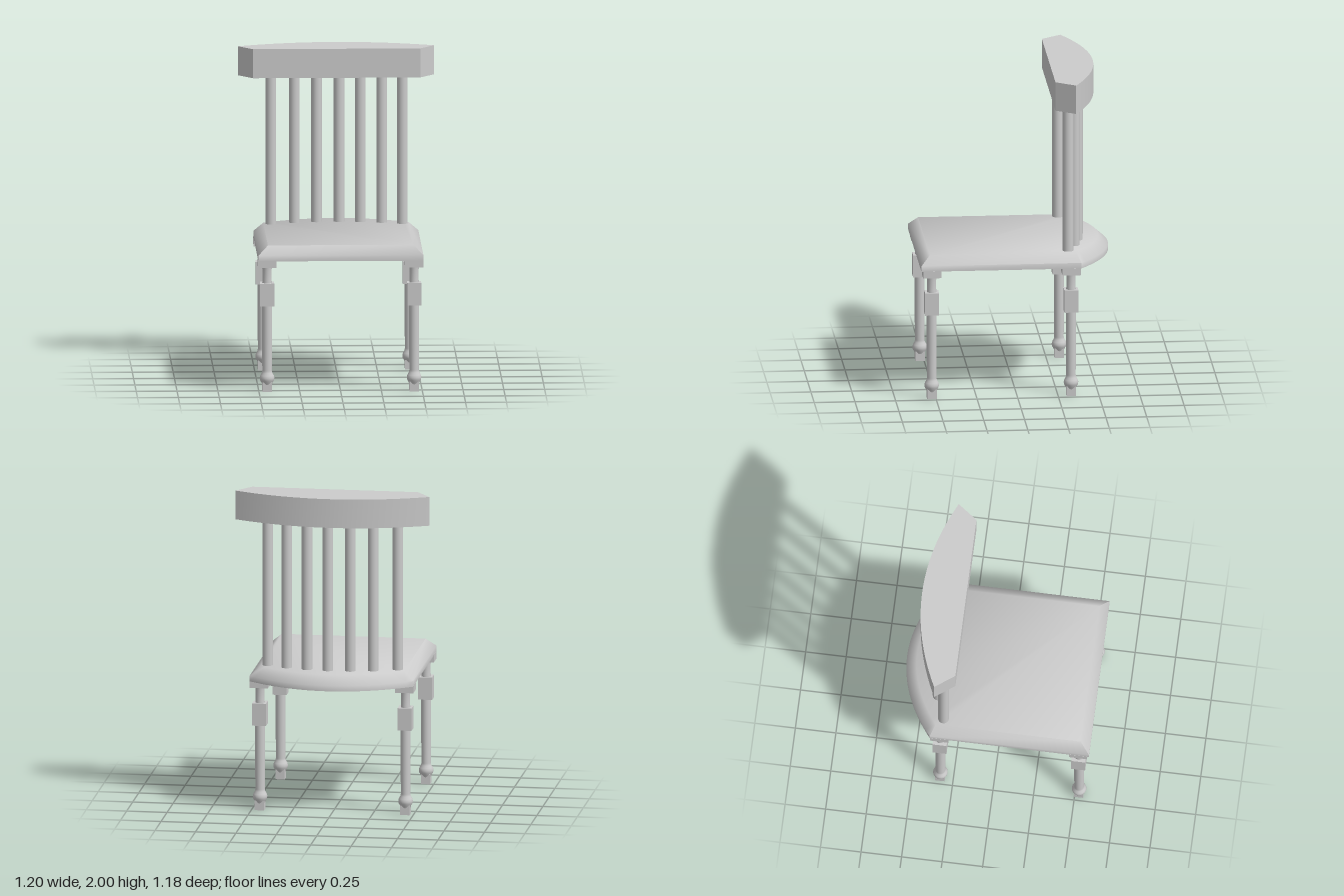
import * as THREE from 'three';
import { mergeVertices, toCreasedNormals } from 'three/addons/utils/BufferGeometryUtils.js';

const material = new THREE.MeshStandardMaterial({ color: 0xcccccc, side: THREE.DoubleSide });

function add(parent, name, geometry, x = 0, y = 0, z = 0) {
  const mesh = new THREE.Mesh(geometry, material);
  mesh.name = name;
  mesh.position.set(x, y, z);
  parent.add(mesh);
  return mesh;
}

// Plan outline as [x, z] pairs: a straight front edge and a bowed back edge
function bowedOutline(frontHalf, frontZ, backHalf, cornerZ, bowZ, steps = 28) {
  const points = [[frontHalf, frontZ]];
  for (let i = 0; i <= steps; i++) {
    const t = 1 - (2 * i) / steps;
    points.push([backHalf * t, bowZ + (cornerZ - bowZ) * t * t]);
  }
  points.push([-frontHalf, frontZ]);
  return points;
}

// Skin between stacked outlines of equal length, closed with flat caps
function loft(layers, crease) {
  const n = layers[0].outline.length;
  const positions = [];
  const index = [];
  for (const { y, outline } of layers) {
    for (const [x, z] of outline) positions.push(x, y, z);
  }
  for (let k = 0; k < layers.length - 1; k++) {
    for (let i = 0; i < n; i++) {
      const j = (i + 1) % n;
      const a = k * n + i, b = k * n + j;
      index.push(a, b, b + n, a, b + n, a + n);
    }
  }
  const top = (layers.length - 1) * n;
  for (let i = 1; i < n - 1; i++) {
    index.push(top, top + i, top + i + 1);
    index.push(0, i + 1, i);
  }
  const geometry = new THREE.BufferGeometry();
  geometry.setAttribute('position', new THREE.Float32BufferAttribute(positions, 3));
  geometry.setIndex(index);
  return toCreasedNormals(mergeVertices(geometry), crease);
}

// Turned leg with square foot, block and cap
function createLeg(name, x, z) {
  const leg = new THREE.Group();
  leg.name = name;
  leg.position.set(x, 0, z);
  const profile = [
    [0.028, 0.04], [0.034, 0.055], [0.043, 0.07], [0.045, 0.085], [0.041, 0.1],
    [0.032, 0.115], [0.029, 0.13], [0.031, 0.3], [0.031, 0.54],
    [0.031, 0.66], [0.028, 0.69], [0.028, 0.75], [0.032, 0.78],
  ].map(([r, y]) => new THREE.Vector2(r, y));
  add(leg, 'turnedShaft', new THREE.LatheGeometry(profile, 20));
  add(leg, 'squareFoot', new THREE.BoxGeometry(0.058, 0.06, 0.058), 0, 0.03, 0);
  add(leg, 'squareBlock', new THREE.BoxGeometry(0.086, 0.14, 0.086), 0, 0.603, 0);
  add(leg, 'squareCap', new THREE.BoxGeometry(0.112, 0.045, 0.112), 0, 0.795, 0);
  return leg;
}

export function createModel() {
  const chair = new THREE.Group();
  chair.name = 'chair';

  // Seat with a sloped upper edge
  const rim = bowedOutline(0.505, 0.592, 0.505, -0.39, -0.592);
  const upper = bowedOutline(0.445, 0.535, 0.445, -0.36, -0.53);
  add(chair, 'seat', loft([
    { y: 0.815, outline: rim },
    { y: 0.85, outline: rim },
    { y: 0.905, outline: upper },
  ], 0.9));

  // Legs
  for (const [side, x] of [['left', 0.45], ['right', -0.45]]) {
    chair.add(createLeg(side + 'FrontLeg', x, 0.525));
    chair.add(createLeg(side + 'BackLeg', x, -0.33));
  }

  // Back spindles along a shallow curve
  const spindles = new THREE.Group();
  spindles.name = 'backSpindles';
  for (const x of [-0.4, -0.255, -0.118, 0.02, 0.15, 0.28, 0.405]) {
    const z = -0.405 + 0.09 * (x / 0.405) ** 2;
    add(spindles, 'spindle', new THREE.CylinderGeometry(0.033, 0.033, 0.95, 20), x, 1.36, z);
  }
  chair.add(spindles);

  // Crest rail: flat front, bowed back, angled ends
  const rail = bowedOutline(0.512, -0.23, 0.6, -0.35, -0.5);
  add(chair, 'crestRail', loft([
    { y: 1.82, outline: rail },
    { y: 2, outline: rail },
  ], 0.6));

  return chair;
}
